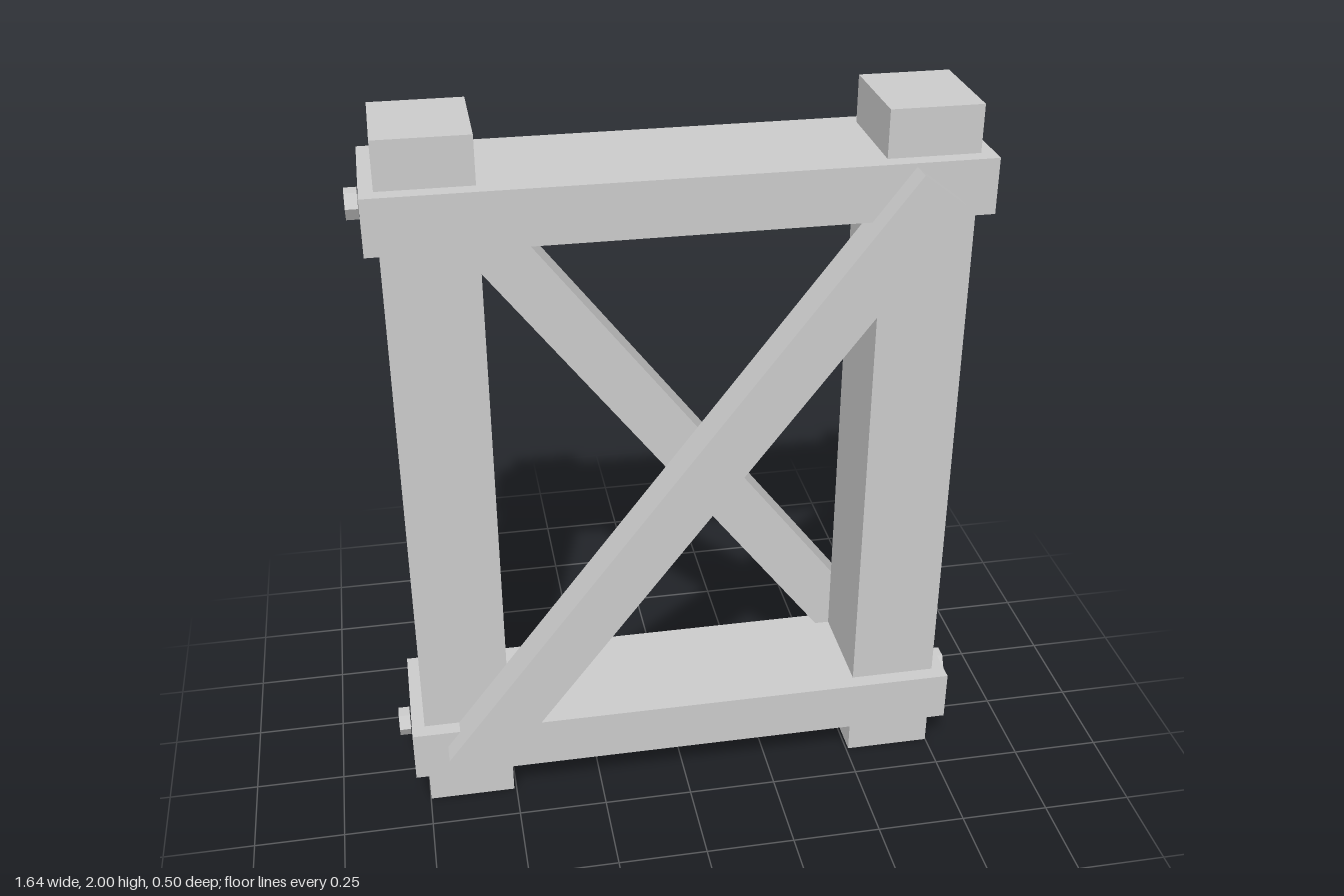
import * as THREE from 'three';

export function createModel() {
  const model = new THREE.Group();
  model.name = 'bracedFrame';
  const grey = new THREE.MeshStandardMaterial({ color: 0xcccccc, flatShading: true });
  grey.name = 'plain grey';

  function add(name, geometry, x, y, z) {
    const mesh = new THREE.Mesh(geometry, grey);
    mesh.name = name;
    mesh.position.set(x, y, z);
    model.add(mesh);
    return mesh;
  }

  // Upright posts
  const post = new THREE.BoxGeometry(0.242, 2, 0.285);
  add('leftPost', post, 0.628, 1, 0);
  add('rightPost', post, -0.628, 1, 0);

  // Cross rails, each with a hexagonal bolt head at both ends
  const rail = new THREE.BoxGeometry(1.57, 0.148, 0.37);
  const bolt = new THREE.CylinderGeometry(0.04, 0.04, 0.032, 6).rotateZ(Math.PI / 2);
  for (const [level, y] of [['lower', 0.195], ['upper', 1.8]]) {
    add(level + 'Rail', rail, 0, y, 0);
    add(level + 'LeftBolt', bolt, 0.805, y, 0.015);
    add(level + 'RightBolt', bolt, -0.805, y, 0.015);
  }

  // Diagonal braces, crossing in opposite directions on front and back
  const brace = new THREE.BoxGeometry(2.072, 0.147, 0.107);
  const angle = Math.atan2(1.645, 1.26);
  add('frontBrace', brace, 0, 0.998, 0.196).rotation.z = angle;
  add('backBrace', brace, 0, 0.998, -0.196).rotation.z = -angle;

  return model;
}
